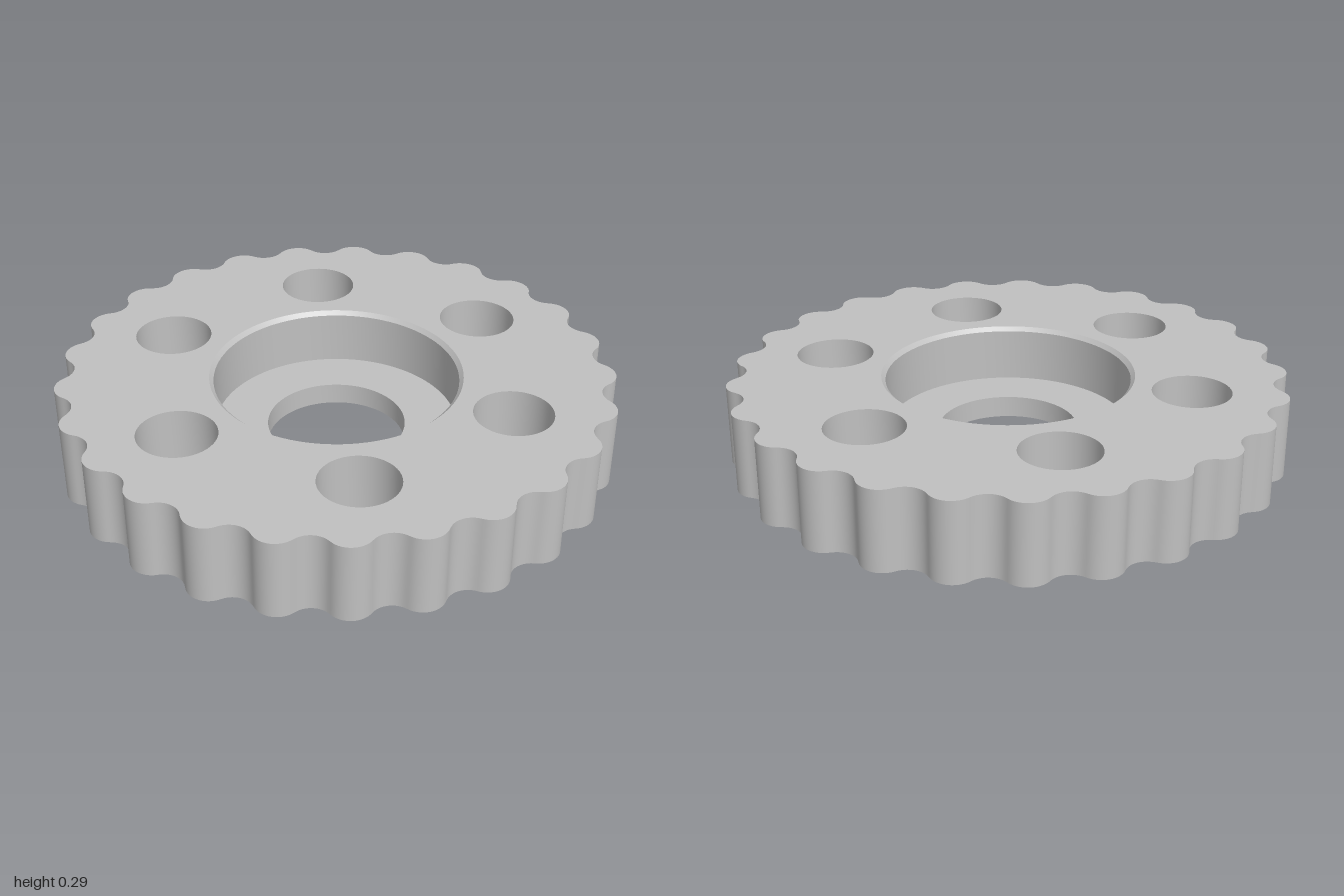
import * as THREE from 'three';

const HEIGHT = 0.29, FLOOR = 0.08, CHAMFER = 0.015;
const BORE = 0.25, RECESS = 0.44;
const TEETH = 25, TOOTH_R = 0.08, TOOTH_RING = 0.92, VALLEY_R = 0.075;

// Counter-clockwise points along an arc, ends included
function arc(cx, cy, r, from, to, steps) {
  return Array.from({ length: steps + 1 }, (_, i) => {
    const a = from + (to - from) * i / steps;
    return new THREE.Vector2(cx + r * Math.cos(a), cy + r * Math.sin(a));
  });
}

function circle(r, cx = 0, cy = 0, steps = 96) {
  return arc(cx, cy, r, 0, Math.PI * 2, steps).slice(0, -1);
}

// Scalloped rim: round teeth joined by tangent concave arcs
function scallopedOutline() {
  const half = Math.PI / TEETH;
  const valleyRing = TOOTH_RING * Math.cos(half)
    + Math.sqrt((TOOTH_R + VALLEY_R) ** 2 - (TOOTH_RING * Math.sin(half)) ** 2);
  const points = [];
  for (let k = 0; k < TEETH; k++) {
    const a = Math.PI + k * 2 * half, v = a + half;
    const tx = TOOTH_RING * Math.cos(a), ty = TOOTH_RING * Math.sin(a);
    const vx = valleyRing * Math.cos(v), vy = valleyRing * Math.sin(v);
    const t = Math.atan2(vy - ty, vx - tx);
    // tangent direction measured from the valley axis
    const d = Math.atan2(Math.sin(t - v), Math.cos(t - v));
    const reach = d + half;
    points.push(...arc(tx, ty, TOOTH_R, a - reach, a + reach, 14).slice(0, -1));
    points.push(...arc(vx, vy, VALLEY_R, v + Math.PI + d, v + Math.PI - d, 10).slice(0, -1));
  }
  return points;
}

// Smooth closed band between two loops; inward turns it to face the axis
function band(lower, y0, upper, y1, inward = false) {
  const n = lower.length, positions = [], index = [];
  for (let i = 0; i < n; i++) {
    positions.push(lower[i].x, y0, -lower[i].y, upper[i].x, y1, -upper[i].y);
    const a = 2 * i, b = 2 * ((i + 1) % n);
    if (inward) index.push(a, b + 1, b, a, a + 1, b + 1);
    else index.push(a, b, b + 1, a, b + 1, a + 1);
  }
  const geometry = new THREE.BufferGeometry();
  geometry.setAttribute('position', new THREE.Float32BufferAttribute(positions, 3));
  geometry.setIndex(index);
  geometry.computeVertexNormals();
  return geometry;
}

export function createModel() {
  const group = new THREE.Group();
  group.name = 'scallopedWheel';
  const grey = new THREE.MeshStandardMaterial({ color: 0xc0c0c0 });
  grey.name = 'light grey';

  const add = (name, geometry) => {
    const mesh = new THREE.Mesh(geometry, grey);
    mesh.name = name;
    group.add(mesh);
    return mesh;
  };

  const outline = scallopedOutline();
  const bore = circle(BORE), recess = circle(RECESS), lip = circle(RECESS + CHAMFER);
  const holes = Array.from({ length: 6 }, (_, i) => {
    const a = Math.PI / 6 + i * Math.PI / 3;
    return circle(0.14, 0.664 * Math.cos(a), 0.664 * Math.sin(a), 48);
  });

  // Flat faces, pierced by the centre opening and the ring of holes
  const face = (centre) => {
    const shape = new THREE.Shape(outline);
    shape.holes = [centre, ...holes].map((loop) => new THREE.Path(loop));
    return new THREE.ShapeGeometry(shape);
  };
  add('topFace', face(lip).rotateX(-Math.PI / 2).translate(0, HEIGHT, 0));
  add('bottomFace', face(bore).rotateX(Math.PI / 2));

  // Outer rim and through holes
  add('scallopedRim', band(outline, 0, outline, HEIGHT));
  holes.forEach((loop, i) => add(`holeWall${i + 1}`, band(loop, 0, loop, HEIGHT, true)));

  // Centre: bore, recess floor, recess wall and chamfered lip
  add('boreWall', band(bore, 0, bore, FLOOR, true));
  add('recessFloor', band(bore, FLOOR, recess, FLOOR, true));
  add('recessWall', band(recess, FLOOR, recess, HEIGHT - CHAMFER, true));
  add('recessChamfer', band(recess, HEIGHT - CHAMFER, lip, HEIGHT, true));

  // An odd tooth count leaves the outline slightly off centre in x
  for (const mesh of group.children) mesh.geometry.translate(0.0036, 0, 0);
  return group;
}
